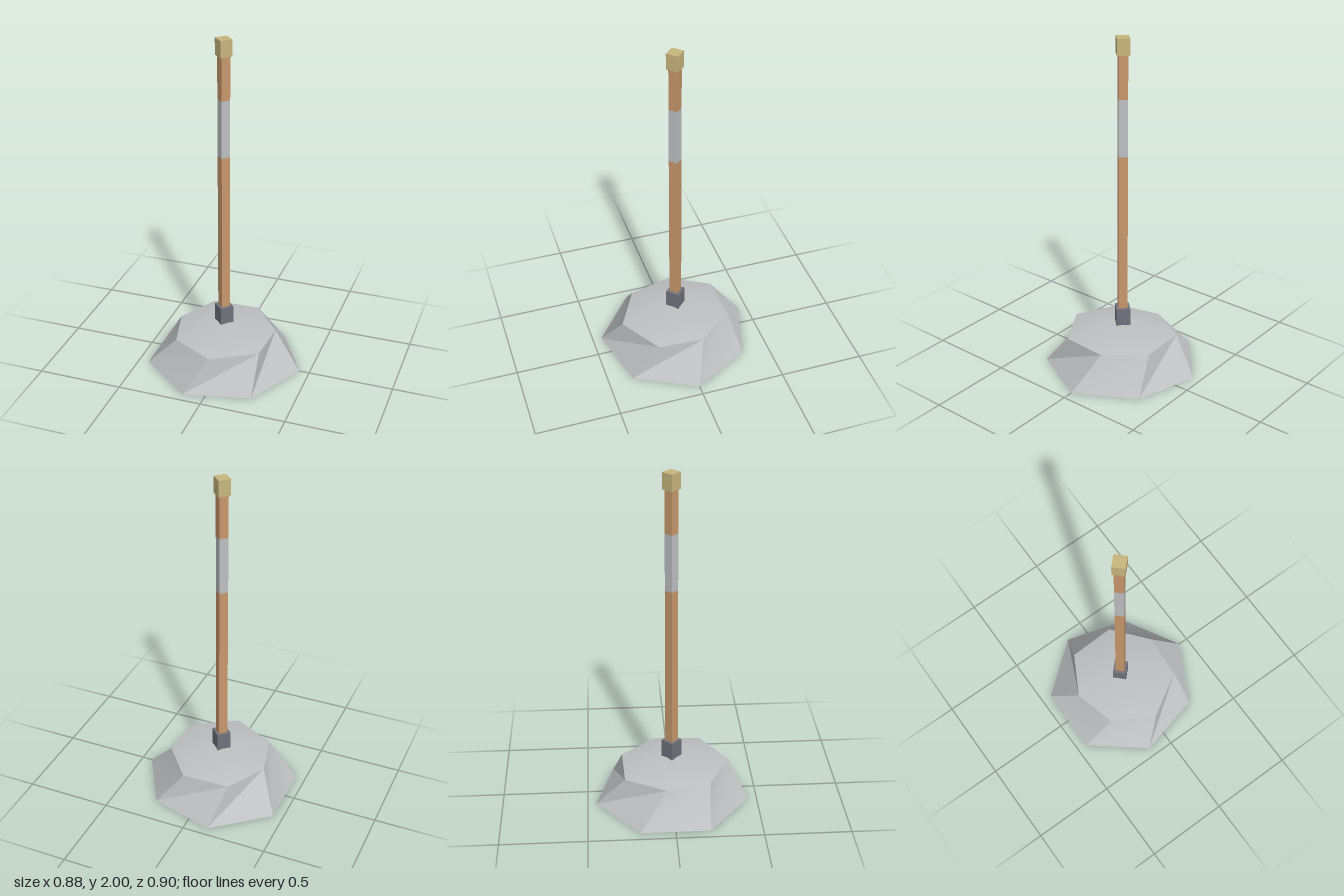
import * as THREE from 'three';
import { toCreasedNormals } from 'three/addons/utils/BufferGeometryUtils.js';

const AXIS_X = -0.03; // centre line of the handle

function material(name, color, extra = {}) {
  return new THREE.MeshStandardMaterial({ name, color, ...extra });
}

// Square bar standing on its corner lines, from y0 to y1
function bar(name, radius, y0, y1, mat, open = false) {
  const geo = new THREE.CylinderGeometry(radius, radius, y1 - y0, 4, 1, open).toNonIndexed();
  geo.computeVertexNormals();
  const mesh = new THREE.Mesh(geo, mat);
  mesh.name = name;
  mesh.position.set(AXIS_X, (y0 + y1) / 2, 0);
  return mesh;
}

// Open seven-sided cup: twisted shoulder ring over a wider rim
function cup(mat) {
  const rim = [[0.44, 0], [0.255, 0.355], [-0.13, 0.447], [-0.44, 0.2],
    [-0.44, -0.2], [-0.13, -0.45], [0.245, -0.342]];
  const shoulder = [[0.265, -0.08], [0.248, 0.19], [-0.005, 0.34], [-0.255, 0.21],
    [-0.32, -0.045], [-0.19, -0.28], [0.09, -0.29]];
  const apex = [AXIS_X, 0.27, 0];
  const low = (i) => [rim[i][0], 0, rim[i][1]];
  const high = (i) => [shoulder[i][0], 0.2, shoulder[i][1]];
  const pos = [];
  for (let i = 0; i < 7; i++) {
    const j = (i + 1) % 7;
    pos.push(...apex, ...high(j), ...high(i));
    pos.push(...high(i), ...high(j), ...low(j));
    pos.push(...high(i), ...low(j), ...low(i));
  }
  const geo = new THREE.BufferGeometry();
  geo.setAttribute('position', new THREE.Float32BufferAttribute(pos, 3));
  const mesh = new THREE.Mesh(toCreasedNormals(geo, 0.55), mat);
  mesh.name = 'cup';
  return mesh;
}

export function createModel() {
  const wood = material('wood', 0xc8986c);
  const grey = material('light grey', 0xbec0c2, { side: THREE.DoubleSide });
  const iron = material('dark iron', 0x70727c);
  const brass = material('pale brass', 0xc8b67e);

  const group = new THREE.Group();
  group.name = 'plunger';
  group.add(
    cup(grey),
    bar('ferrule', 0.058, 0.17, 0.365, iron),
    // Handle with a grey grip band
    bar('lowerHandle', 0.037, 0.36, 1.32, wood, true),
    bar('gripBand', 0.037, 1.32, 1.655, grey, true),
    bar('upperHandle', 0.037, 1.655, 1.91, wood, true),
    bar('endCap', 0.05, 1.905, 2, brass),
  );
  return group;
}
